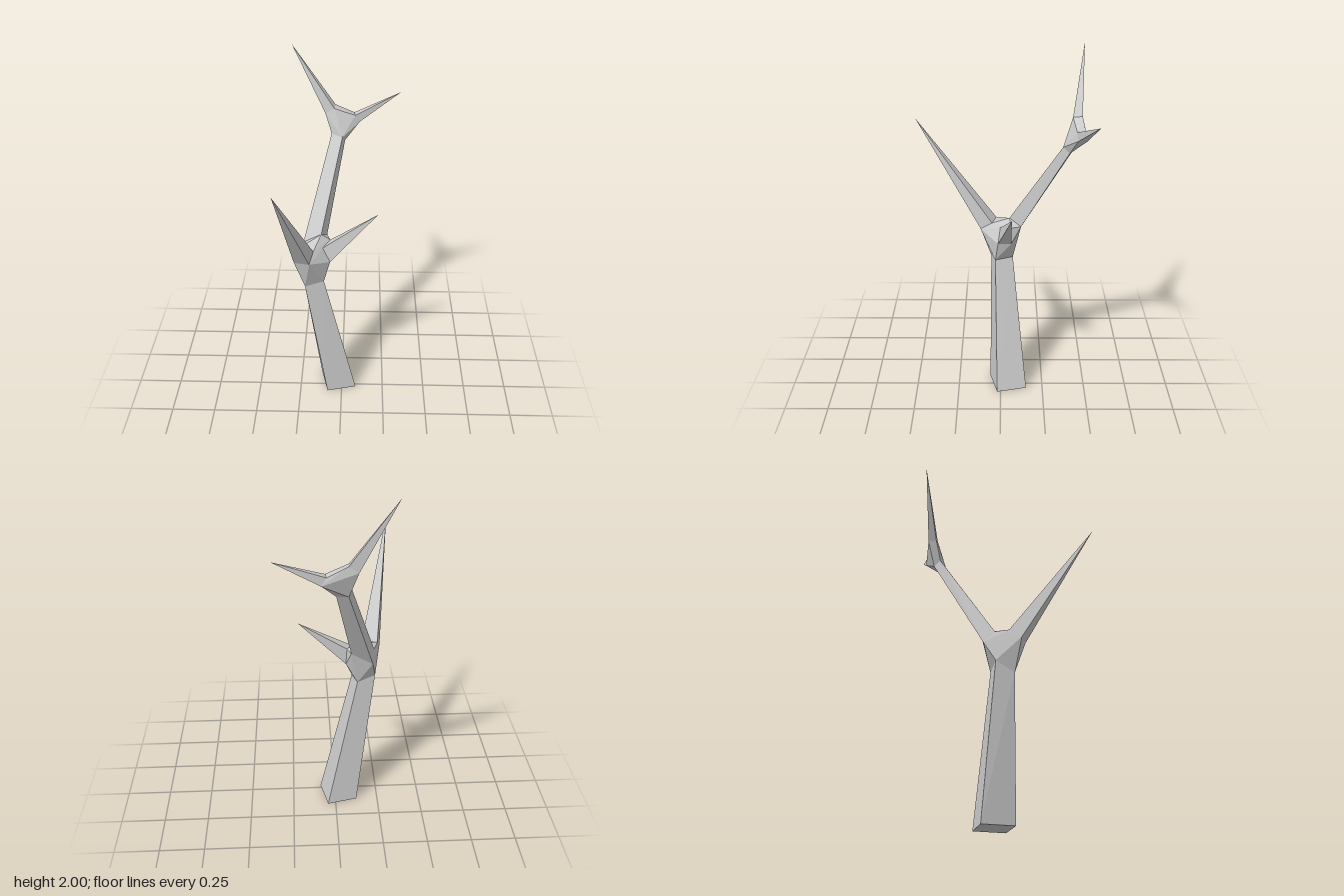
import * as THREE from 'three';
import { ConvexGeometry } from 'three/addons/geometries/ConvexGeometry.js';

export function createModel() {
  const group = new THREE.Group();
  const material = new THREE.MeshStandardMaterial({ color: 0xcccccc, flatShading: true });

  // Every limb is a faceted solid stretched between four-cornered sections
  const addLimb = (name, ...sections) => {
    const points = sections.flat().map((p) => new THREE.Vector3(...p));
    const mesh = new THREE.Mesh(new ConvexGeometry(points), material);
    mesh.name = name;
    group.add(mesh);
  };

  // Trunk sections
  const trunkBase = [[0.085, 0, 0.02], [0.045, 0, -0.153], [-0.125, 0, -0.113], [-0.085, 0, 0.062]];
  const trunkTop = [[-0.1, 0.79, 0.03], [-0.125, 0.8, -0.07], [-0.225, 0.83, -0.045], [-0.205, 0.77, 0.055]];

  // Sections where the limbs leave the lower fork
  const frontBase = [[-0.26, 0.95, 0.09], [-0.175, 0.955, 0.115], [-0.155, 1.0, 0.05], [-0.24, 1.0, 0.025]];
  const sideBase = [[-0.065, 0.91, 0.015], [-0.12, 0.985, 0.005], [-0.065, 1.01, -0.06], [-0.06, 0.915, -0.06]];
  const boughBase = [[-0.115, 1.05, -0.05], [-0.215, 1.0, -0.05], [-0.205, 0.94, -0.11], [-0.085, 1.01, -0.115]];

  // Sections around the upper fork
  const boughTop = [[-0.005, 1.51, -0.33], [-0.065, 1.52, -0.36], [-0.05, 1.49, -0.395], [0.01, 1.48, -0.365]];
  const tallBase = [[-0.1, 1.63, -0.385], [-0.05, 1.66, -0.38], [-0.045, 1.665, -0.43], [-0.095, 1.63, -0.43]];
  const shortBase = [[0.065, 1.615, -0.395], [0.09, 1.575, -0.4], [0.085, 1.575, -0.45], [0.06, 1.615, -0.44]];

  addLimb('trunk', trunkBase, trunkTop);
  addLimb('lowerFork', trunkTop, frontBase, sideBase, boughBase);
  addLimb('frontBranch', frontBase, [[-0.32, 1.57, 0.48]]);
  addLimb('sideBranch', sideBase, [[0.2, 1.175, -0.06]]);
  addLimb('bough', boughBase, boughTop);
  addLimb('upperFork', boughTop, tallBase, shortBase);
  addLimb('tallTwig', tallBase, [[-0.28, 2, -0.447]]);
  addLimb('shortTwig', shortBase, [[0.32, 1.72, -0.483]]);

  return group;
}
